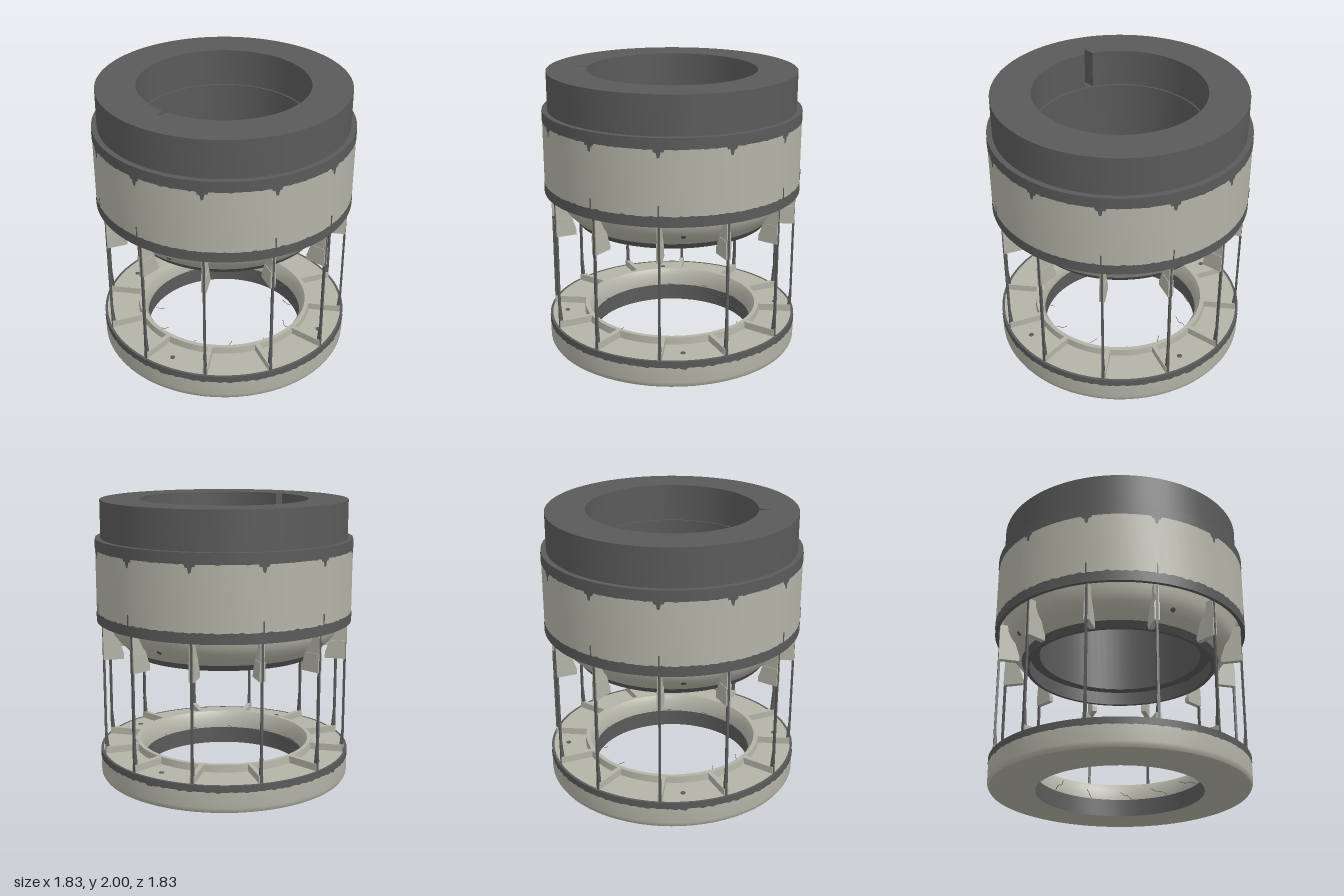
import * as THREE from 'three';
import { toCreasedNormals } from 'three/addons/utils/BufferGeometryUtils.js';

const pale = new THREE.MeshStandardMaterial({ color: 0xb3b3a7 });
pale.name = 'pale metal';
const dark = new THREE.MeshStandardMaterial({ color: 0x5a5a5a });
dark.name = 'dark metal';

function add(parent, name, geometry, material) {
  const mesh = new THREE.Mesh(geometry, material);
  mesh.name = name;
  parent.add(mesh);
  return mesh;
}

// Ring from a profile of [radius, height] points, with sharp corners kept
function ring(points) {
  const profile = points.map(([r, y]) => new THREE.Vector2(r, y));
  return toCreasedNormals(new THREE.LatheGeometry(profile, 72), 0.5);
}

// Flat plate from a [radius, height] outline, centred on its thickness
function plate(points, thickness) {
  const shape = new THREE.Shape(points.map(([r, y]) => new THREE.Vector2(r, y)));
  const geometry = new THREE.ExtrudeGeometry(shape, { depth: thickness, bevelEnabled: false });
  return geometry.translate(0, 0, -thickness / 2);
}

// Thin painted band; each edge height is a rule of the angle around the axis
function paintedBand(radius, top, bottom) {
  const geometry = new THREE.CylinderGeometry(radius, radius, 1, 720, 1, true);
  const p = geometry.attributes.position;
  for (let i = 0; i < p.count; i++) {
    const angle = Math.atan2(p.getX(i), p.getZ(i));
    p.setY(i, p.getY(i) > 0 ? top(angle) : bottom(angle));
  }
  return geometry;
}

const ragged = a => 0.004 * Math.sin(17 * a) * Math.sin(43 * a) + 0.003 * Math.sin(90 * a);

// Paint runs every 30 degrees along the upper band
function dripDepth(angle) {
  const step = Math.PI / 6;
  const arc = Math.abs(angle - Math.round(angle / step) * step) * 0.91;
  if (arc < 0.015) return 0.055;
  return arc < 0.032 ? 0.02 : 0;
}

function createModel() {
  const model = new THREE.Group();
  model.name = 'ringTower';

  // Top block with a V notch in its bore
  const block = new THREE.Shape().absarc(0, 0, 0.872, 0, Math.PI * 2);
  const bore = new THREE.Path();
  const notch = 0.05;
  bore.absarc(0, 0, 0.595, -Math.PI + notch, Math.PI - notch);
  bore.lineTo(-0.675, 0);
  bore.closePath();
  block.holes.push(bore);
  const blockGeometry = new THREE.ExtrudeGeometry(block, {
    depth: 0.265, bevelEnabled: false, curveSegments: 72,
  });
  blockGeometry.rotateX(-Math.PI / 2).translate(0, 1.735, 0);
  add(model, 'topBlock', toCreasedNormals(blockGeometry, 0.5), dark);

  // Shoulder, inner bore and recessed lower lip
  add(model, 'boreAndShoulder', ring([
    [0.91, 1.66], [0.91, 1.735], [0.583, 1.735], [0.583, 1.02],
    [0.655, 1.02], [0.655, 0.92], [0.68, 0.92], [0.71, 0.962],
  ]), dark);

  // Drum wall, its lower rim and the bowl tucked inside
  add(model, 'drumWall', ring([[0.91, 1.22], [0.91, 1.66]]), pale);
  add(model, 'drumRim', ring([[0.885, 1.22], [0.885, 1.15], [0.91, 1.15], [0.91, 1.22]]), dark);
  add(model, 'bowl', ring([
    [0.71, 0.962], [0.76, 1.01], [0.8, 1.06], [0.825, 1.11], [0.832, 1.16],
    [0.86, 1.3], [0.885, 1.4], [0.885, 1.22],
  ]), pale);

  // Painted worn edges
  add(model, 'upperPaint', paintedBand(0.912, () => 1.735,
    a => 1.662 + ragged(a) - dripDepth(a)), dark);
  add(model, 'lowerPaint', paintedBand(0.912, a => 1.222 + ragged(a), () => 1.15), dark);
  add(model, 'basePaint', paintedBand(0.907, () => 0.2,
    a => 0.154 + ragged(a) - (Math.cos(4 * (a - 0.18)) > 0.995 ? 0.01 : 0)), dark);

  // Base ring
  add(model, 'baseRing', ring([
    [0.578, 0], [0.872, 0], [0.893, 0.008], [0.903, 0.025], [0.905, 0.045], [0.905, 0.155],
  ]), pale);
  add(model, 'baseRim', ring([[0.905, 0.155], [0.905, 0.2], [0.887, 0.2]]), dark);
  add(model, 'baseTop', ring([
    [0.887, 0.2], [0.65, 0.2], [0.645, 0.25], [0.615, 0.25], [0.585, 0.2], [0.58, 0.125],
  ]), pale);
  add(model, 'baseBore', ring([[0.58, 0.125], [0.578, 0]]), dark);

  // Twelve stations, each with a fin, a rod, its foot and a base rib
  const fin = plate([[0.885, 1.16], [0.815, 1.16], [0.74, 0.93], [0.74, 0.89], [0.885, 0.89]], 0.028);
  const finPad = plate([[0.885, 1.02], [0.79, 1.02], [0.74, 0.93], [0.74, 0.89], [0.885, 0.89]], 0.038);
  const rod = new THREE.BoxGeometry(0.016, 1.0, 0.016).translate(0.879, 0.7, 0);
  const foot = plate([[0.886, 0.2], [0.886, 0.37], [0.871, 0.37], [0.855, 0.2]], 0.02);
  const rib = new THREE.BoxGeometry(0.245, 0.05, 0.034).translate(0.762, 0.225, 0);
  for (let i = 0; i < 12; i++) {
    const station = new THREE.Group();
    station.name = 'station' + (i + 1);
    station.rotation.y = i * Math.PI / 6;
    add(station, 'fin', fin, pale);
    add(station, 'finPad', finPad, pale);
    add(station, 'rod', rod, dark);
    add(station, 'rodFoot', foot, dark);
    add(station, 'baseRib', rib, pale);
    model.add(station);
  }

  // Quarter-turn details: streaks, spots and loose wisps
  const streak = new THREE.BoxGeometry(0.008, 0.08, 0.004).translate(0, 1.255, 0.912);
  const spot = new THREE.CylinderGeometry(0.018, 0.018, 0.006, 10);
  for (let q = 0; q < 4; q++) {
    const quarter = new THREE.Group();
    quarter.name = 'quarterDetails' + (q + 1);
    quarter.rotation.y = q * Math.PI / 2;
    add(quarter, 'streak', streak, dark);
    add(quarter, 'streak', streak, dark).rotation.y = Math.PI / 3;

    const a = 0.19;
    add(quarter, 'baseSpot', spot, dark).position.set(0.78 * Math.sin(a), 0.201, 0.78 * Math.cos(a));
    const bowlSpot = add(quarter, 'bowlSpot', spot, dark);
    bowlSpot.rotation.order = 'YXZ';
    bowlSpot.rotation.set(2.2, a, 0);
    bowlSpot.position.set(0.785 * Math.sin(a), 1.04, 0.785 * Math.cos(a));

    for (const [angle, reach] of [[0.1, 0.1], [0.65, 0.13], [1.15, 0.08]]) {
      const path = new THREE.CatmullRomCurve3([
        new THREE.Vector3(0, 0.13, 0.582),
        new THREE.Vector3(0.03, 0.15, 0.582 - reach * 0.4),
        new THREE.Vector3(0.04, 0.14, 0.582 - reach * 0.7),
        new THREE.Vector3(0.07, 0.16, 0.582 - reach),
      ]);
      add(quarter, 'wisp', new THREE.TubeGeometry(path, 8, 0.002, 4), dark).rotation.y = angle;
    }
    model.add(quarter);
  }
  return model;
}

export { createModel };
